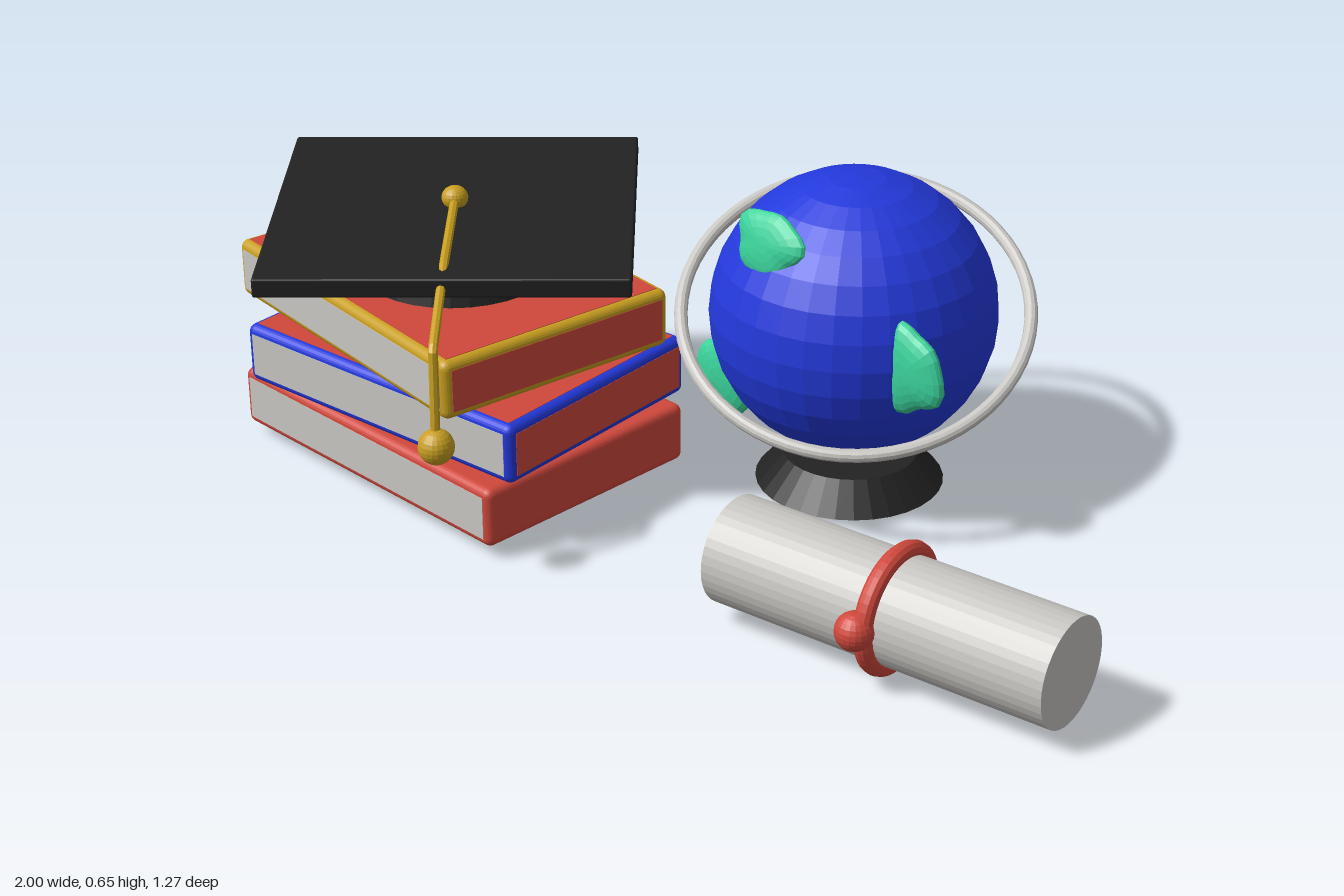
import * as THREE from 'three';
import { RoundedBoxGeometry } from 'three/addons/geometries/RoundedBoxGeometry.js';

const paint = (name, color) => {
  const m = new THREE.MeshStandardMaterial({ color, flatShading: true });
  m.name = name;
  return m;
};

export function createModel() {
  const model = new THREE.Group();
  const red = paint('coverRed', 0xd0483c);
  const blue = paint('blue', 0x2339dc);
  const green = paint('landGreen', 0x3bd39c);
  const gold = paint('gold', 0xc89f20);
  const black = paint('capBlack', 0x222222);
  const paper = paint('paperGrey', 0xc9c7c3);

  const add = (parent, name, geometry, material, x = 0, y = 0, z = 0) => {
    const mesh = new THREE.Mesh(geometry, material);
    mesh.name = name;
    mesh.position.set(x, y, z);
    parent.add(mesh);
    return mesh;
  };
  const group = (name, x, y, z, turn = 0) => {
    const g = new THREE.Group();
    g.name = name;
    g.position.set(x, y, z);
    g.rotation.y = turn;
    model.add(g);
    return g;
  };

  // Books: rounded coloured edges, thin cover panels, page panel on the front
  const book = (name, edge, w, h, d, x, y, z, turn) => {
    const g = group(name, x, y, z, turn);
    const r = 0.017, t = 0.004, o = t / 2 - 0.001;
    add(g, 'bookEdges', new RoundedBoxGeometry(w, h, d, 3, r), edge);
    const iw = w - 2 * r, ih = h - 2 * r, id = d - 2 * r;
    add(g, 'pages', new THREE.BoxGeometry(iw, ih, t), paper, 0, 0, d / 2 - o);
    if (edge === red) return;
    add(g, 'backPanel', new THREE.BoxGeometry(iw, ih, t), red, 0, 0, -d / 2 + o);
    for (const s of [-1, 1]) {
      add(g, 'coverPanel', new THREE.BoxGeometry(iw, t, id), red, 0, s * (h / 2 - o), 0);
      add(g, 'endPanel', new THREE.BoxGeometry(t, ih, id), red, s * (w / 2 - o), 0, 0);
    }
  };
  book('bottomBook', red, 0.743, 0.122, 0.513, -0.513, 0.088, 0.143, 0);
  book('middleBook', blue, 0.705, 0.122, 0.507, -0.492, 0.219, 0.147, 0.1);
  book('topBook', gold, 0.725, 0.119, 0.522, -0.535, 0.348, 0.142, -0.11);

  // Graduation cap
  const cap = group('graduationCap', -0.51, 0, 0.142);
  add(cap, 'capCrown', new THREE.CylinderGeometry(0.16, 0.19, 0.09, 32), black, 0, 0.45, 0);
  const board = add(cap, 'capBoard', new RoundedBoxGeometry(0.695, 0.038, 0.695, 2, 0.005), black, 0, 0.523, 0);
  board.rotation.y = Math.PI / 4;
  const button = add(cap, 'capButton', new THREE.SphereGeometry(0.026, 20, 12), gold, 0, 0.556, 0);
  button.scale.y = 0.9;

  // Tassel cord follows the board, then drops over its corner
  const cordPoints = [
    [0, 0.553, 0], [0.2, 0.542, 0.2], [0.347, 0.473, 0.355], [0.365, 0.3, 0.373],
  ].map((p) => new THREE.Vector3(...p));
  const cord = new THREE.CurvePath();
  for (let i = 0; i < 3; i++) cord.add(new THREE.LineCurve3(cordPoints[i], cordPoints[i + 1]));
  add(cap, 'tasselCord', new THREE.TubeGeometry(cord, 60, 0.009, 8), gold);
  add(cap, 'tasselBall', new THREE.SphereGeometry(0.034, 20, 12), gold, 0.366, 0.291, 0.373);

  // Globe with stand and tilted ring
  const globe = group('globe', 0.122, 0, -0.31);
  add(globe, 'globeStand', new THREE.CylinderGeometry(0.133, 0.185, 0.06, 32), black, 0, 0.047, 0);
  add(globe, 'globeBall', new THREE.SphereGeometry(0.278, 32, 16), blue, 0, 0.377, 0);
  const ring = add(globe, 'globeRing', new THREE.TorusGeometry(0.335, 0.013, 12, 64), paper, 0.003, 0.376, -0.002);
  const ringAxis = new THREE.Vector3(0.3, 0.88, 0.367).normalize();
  ring.quaternion.setFromUnitVectors(new THREE.Vector3(0, 0, 1), ringAxis);

  // Land masses: flat lens shapes with a wavy outline
  const land = (name, x, y, z, rx, ry, rz, phase, tilt) => {
    const geo = new THREE.SphereGeometry(1, 24, 12);
    geo.rotateX(Math.PI / 2);
    const p = geo.attributes.position;
    for (let i = 0; i < p.count; i++) {
      const a = Math.atan2(p.getY(i), p.getX(i));
      const k = 1 + 0.09 * Math.sin(3 * a + phase) + 0.06 * Math.sin(5 * a + 2 * phase);
      p.setXYZ(i, p.getX(i) * rx * k, p.getY(i) * ry * k, p.getZ(i) * rz);
    }
    geo.computeVertexNormals();
    add(globe, name, geo, green, x, y, z).rotation.x = tilt;
  };
  land('upperLand', -0.03, 0.57, 0.207, 0.079, 0.064, 0.022, 0.6, -0.25);
  land('leftLand', 0.25, 0.377, 0.124, 0.076, 0.088, 0.028, 2.0, 0);
  land('lowerLand', -0.208, 0.215, 0.135, 0.078, 0.08, 0.027, 4.0, 0);

  // Rolled diploma with a tied band
  const scroll = group('diploma', 0.639, 0.127, 0.142, 0.146);
  add(scroll, 'paperRoll', new THREE.CylinderGeometry(0.102, 0.102, 0.697, 40), paper).rotation.z = Math.PI / 2;
  add(scroll, 'ribbonBand', new THREE.TorusGeometry(0.107, 0.018, 12, 48), red).rotation.y = Math.PI / 2;
  add(scroll, 'ribbonKnot', new THREE.SphereGeometry(0.036, 20, 12), red, -0.014, 0.004, 0.112);

  return model;
}
